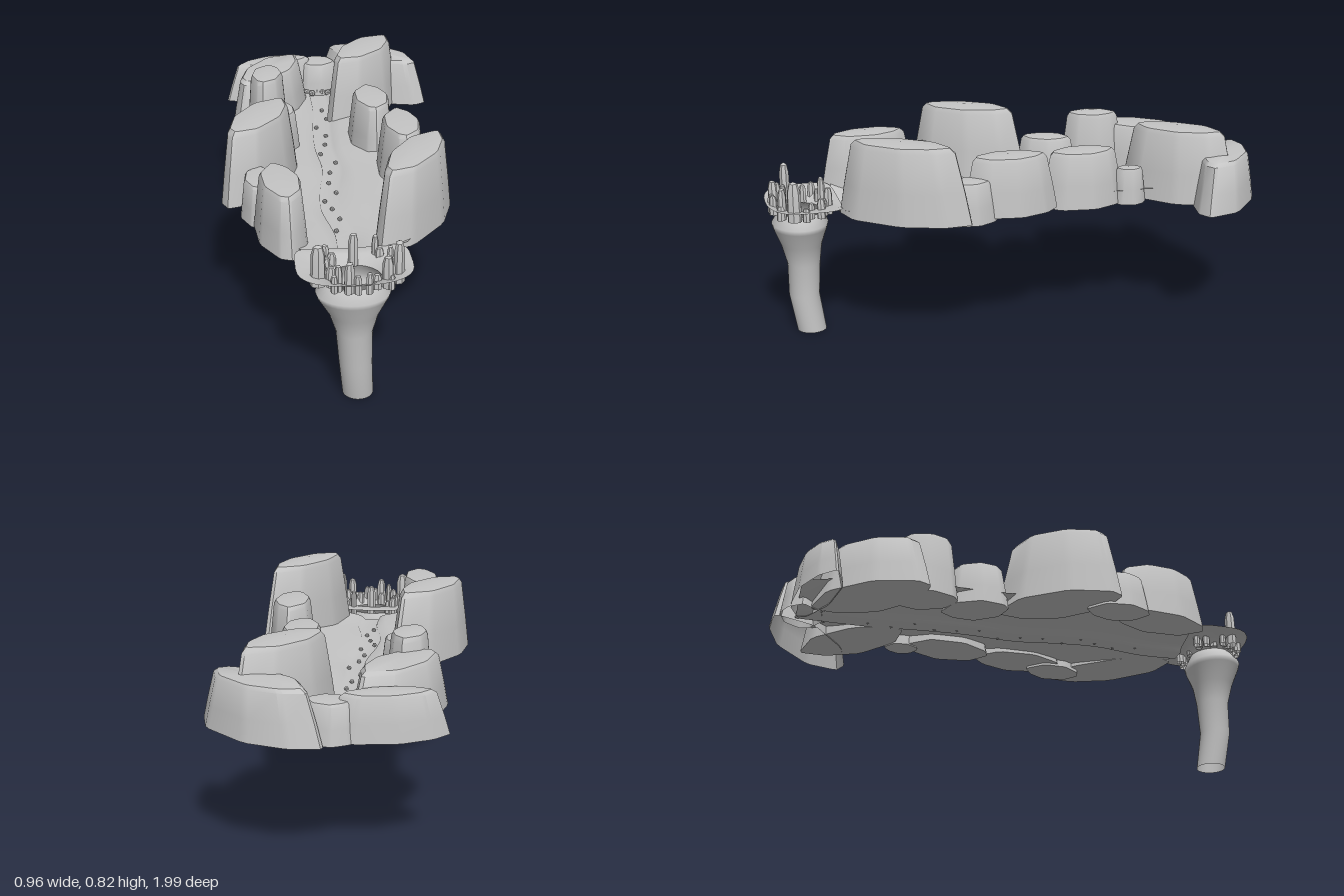
import * as THREE from 'three';
import { toCreasedNormals } from 'three/addons/utils/BufferGeometryUtils.js';

const stone = new THREE.MeshStandardMaterial({ color: 0xc4c4c4, side: THREE.DoubleSide });
stone.name = 'grey stone';

function add(parent, name, geometry) {
  const mesh = new THREE.Mesh(geometry, stone);
  mesh.name = name;
  parent.add(mesh);
  return mesh;
}

// Skin rows of [x, y, z] points; closed rows wrap around
function skin(rows, closed) {
  const n = rows[0].length, index = [];
  for (let i = 0; i < rows.length - 1; i++) {
    for (let j = 0; j < (closed ? n : n - 1); j++) {
      const k = (j + 1) % n;
      const a = i * n + j, b = i * n + k, c = a + n, d = b + n;
      index.push(a, c, b, b, c, d);
    }
  }
  const g = new THREE.BufferGeometry();
  g.setAttribute('position', new THREE.Float32BufferAttribute(rows.flat(2), 3));
  g.setIndex(index);
  g.computeVertexNormals();
  return g;
}

// Leaf-shaped footprint: fraction along the tip-to-tip axis, fraction of the width
const LEAF = [[0, 0], [.25, .45], [.64, .52], [.94, .27], [1, .05], [.83, -.34], [.46, -.5], [.17, -.32]];

// Faceted boulder: tapering wall, bevelled shoulder, low peak
function boulder([x0, z0, x1, z1, width, base, top], hollow) {
  const axis = new THREE.Vector2(x1 - x0, z1 - z0);
  const side = new THREE.Vector2(-axis.y, axis.x).setLength(width);
  const corners = LEAF.map(([t, s]) =>
    new THREE.Vector2(x0, z0).addScaledVector(axis, t).addScaledVector(side, s));
  // Narrow bevel at each corner
  const pts = corners.flatMap((p, i) => [
    p.clone().lerp(corners[(i + 7) % 8], .1), p.clone().lerp(corners[(i + 1) % 8], .1)]);
  const centre = pts.reduce((sum, p) => sum.add(p), new THREE.Vector2()).divideScalar(pts.length);
  const ring = (scale, t) => pts.map((p) => {
    const q = centre.clone().lerp(p, scale);
    return [q.x, base + (top - base) * t, q.y];
  });
  const rows = [ring(0, 1), ring(.7, .965), ring(.78, .9), ring(.91, .4), ring(1, 0)];
  if (!hollow) rows.push(ring(0, 0));
  return toCreasedNormals(skin(rows, true), .6);
}

// Each boulder: first tip x, z, second tip x, z, width, base height, top height
const RIGHT_BANK = [
  [-.075, -.855, -.38, -.42, .24, .49, .71],
  [-.24, -.58, -.28, -.3, .17, .49, .765],
  [-.18, -.35, -.27, -.09, .17, .49, .68],
  [-.185, -.125, -.455, .325, .225, .51, .815],
  [-.34, .21, -.345, .47, .15, .5, .66],
  [-.31, .33, -.24, .74, .19, .51, .745],
];
const LEFT_BANK = [
  [.345, -.845, .03, -.455, .225, .49, .79],
  [.185, -.51, .185, -.37, .1, .485, .635],
  [.15, -.43, .18, -.07, .19, .49, .72],
  [.235, -.12, .25, .27, .19, .51, .745],
  [.27, .13, .3, .37, .15, .5, .665],
  [.385, .26, .08, .73, .21, .515, .82],
];
const BACK_WALL = [
  [0, -.98, .48, -.68, .24, .485, .69],
  [-.43, -.79, 0, -.9, .15, .485, .66],
  [-.12, -.88, .1, -.88, .17, .485, .635],
];

// Valley stations: z, right edge x, left edge x, gully centre x
const STATIONS = [
  [-.9, -.2, .2, -.01], [-.6, -.31, .22, -.01], [-.4, -.31, .22, -.03], [-.2, -.3, .2, -.04],
  [0, -.32, .25, -.03], [.2, -.36, .3, -.06], [.35, -.36, .32, -.07],
  [.55, -.31, .27, -.04], [.71, -.25, .165, -.045],
];
const [rightEdge, leftEdge, gully] = [1, 2, 3].map((col) => new THREE.CatmullRomCurve3(
  STATIONS.map((s) => new THREE.Vector3(s[col], 0, s[0]))));

// Concave floor rising to both edges, with a shallow flat gully
function valleyFloor() {
  const rows = [];
  for (let i = 0; i <= 40; i++) {
    const t = i / 40, m = gully.getPoint(t);
    const bank = (edge) => [1, .75, .5, .3].map((f) => {
      const p = m.clone().lerp(edge.getPoint(t), f);
      return [p.x, .5 + .045 * f ** 1.3, p.z];
    });
    const bed = [[-.04, .501], [-.034, .487], [.03, .488], [.042, .501]].map(([dx, y]) => [m.x + dx, y, m.z]);
    rows.push([...bank(rightEdge), ...bed, ...bank(leftEdge).reverse()]);
  }
  return skin(rows, false);
}

// Ovals that flatten front to back as they widen: height, radius, centre x, centre z
const ANGLES = Array.from({ length: 36 }, (_, i) => -i / 18 * Math.PI);
const oval = ([y, r, x, z]) => ANGLES.map((a) => [
  x + r * Math.cos(a), y, z + (.06 + (r - .06) * .68) * Math.sin(a)]);

// Open, slightly bent funnel
const SHAFT = [
  [.498, .097, -.045, .86], [.485, .108, -.048, .86], [.45, .135, -.05, .862], [.43, .128, -.05, .862],
  [.36, .09, -.047, .86], [.28, .067, -.045, .855], [.15, .061, -.04, .86], [0, .057, -.028, .837],
];

// Thin front shelf, squarer towards the valley, folding down into the shaft
function frontBasin() {
  const outline = ANGLES.map((a) => {
    const c = Math.cos(a), s = Math.sin(a), power = s > 0 ? .8 : .4;
    return [
      -.045 + Math.sign(c) * Math.abs(c) ** power * .208,
      .545 - .04 * Math.max(0, -s - .6) * (1 - Math.abs(c)),
      .855 + Math.sign(s) * Math.abs(s) ** power * (s > 0 ? .14 : .15)];
  });
  return skin([outline, oval([.535, .13, -.045, .86]), oval(SHAFT[0])], true);
}

// Tallest crystals: x, z, tip height, radius
const TALL_CRYSTALS = [
  [-.178, .9, .66, .028], [.105, .9, .66, .028], [.06, .94, .625, .022], [-.075, .96, .62, .022],
  [-.112, .94, .6, .018], [-.04, .775, .63, .02], [.04, .76, .61, .018], [-.14, .76, .58, .018],
];

export function createModel() {
  const model = new THREE.Group();
  model.name = 'rockyValley';

  for (const row of RIGHT_BANK) add(model, 'rightBankBoulder', boulder(row, false));
  for (const row of LEFT_BANK) add(model, 'leftBankBoulder', boulder(row, false));
  for (const row of BACK_WALL) add(model, 'backLedge', boulder(row, true));

  add(model, 'valleyFloor', valleyFloor());
  add(model, 'frontBasin', frontBasin());
  add(model, 'drainShaft', skin(SHAFT.map(oval), true));

  // Blunt crystals: the tall ones, then a ring of short ones
  const crystals = new THREE.Group();
  crystals.name = 'crystals';
  model.add(crystals);
  const addCrystal = ([x, z, tip, r], i) => {
    const h = tip - .5;
    const profile = [[r, 0], [r * .92, h * .75], [r * .6, h * .95], [0, h]]
      .map(([a, b]) => new THREE.Vector2(a, b));
    const mesh = add(crystals, 'crystal', toCreasedNormals(new THREE.LatheGeometry(profile, 7), .6));
    mesh.position.set(x, .5, z);
    mesh.rotation.y = i * 1.3;
    mesh.scale.z = .75;
  };
  TALL_CRYSTALS.forEach(addCrystal);
  for (let i = 0; i < 18; i++) {
    const a = -.9 + i / 17 * 4.9, spread = 1 + .13 * Math.sin(i * 2.4);
    addCrystal([-.03 + .135 * spread * Math.cos(a), .86 + .105 * spread * Math.sin(a),
      .568 + .014 * Math.sin(i * 1.7), .017], i);
  }

  // Pebbles along the gully and at its source
  const pebble = new THREE.IcosahedronGeometry(.01, 0);
  for (let i = 0; i < 14; i++) {
    const p = gully.getPoint(.12 + i * .056);
    add(model, 'pebble', pebble).position.set(p.x + .025 * Math.sin(i * 2.3), .493, p.z);
  }
  for (let i = 0; i < 5; i++) {
    const rock = add(model, 'sourceStone', pebble);
    rock.position.set(-.06 + i * .024, .505, -.8 + .015 * Math.sin(i * 2));
    rock.scale.setScalar(1.6);
  }
  return model;
}
